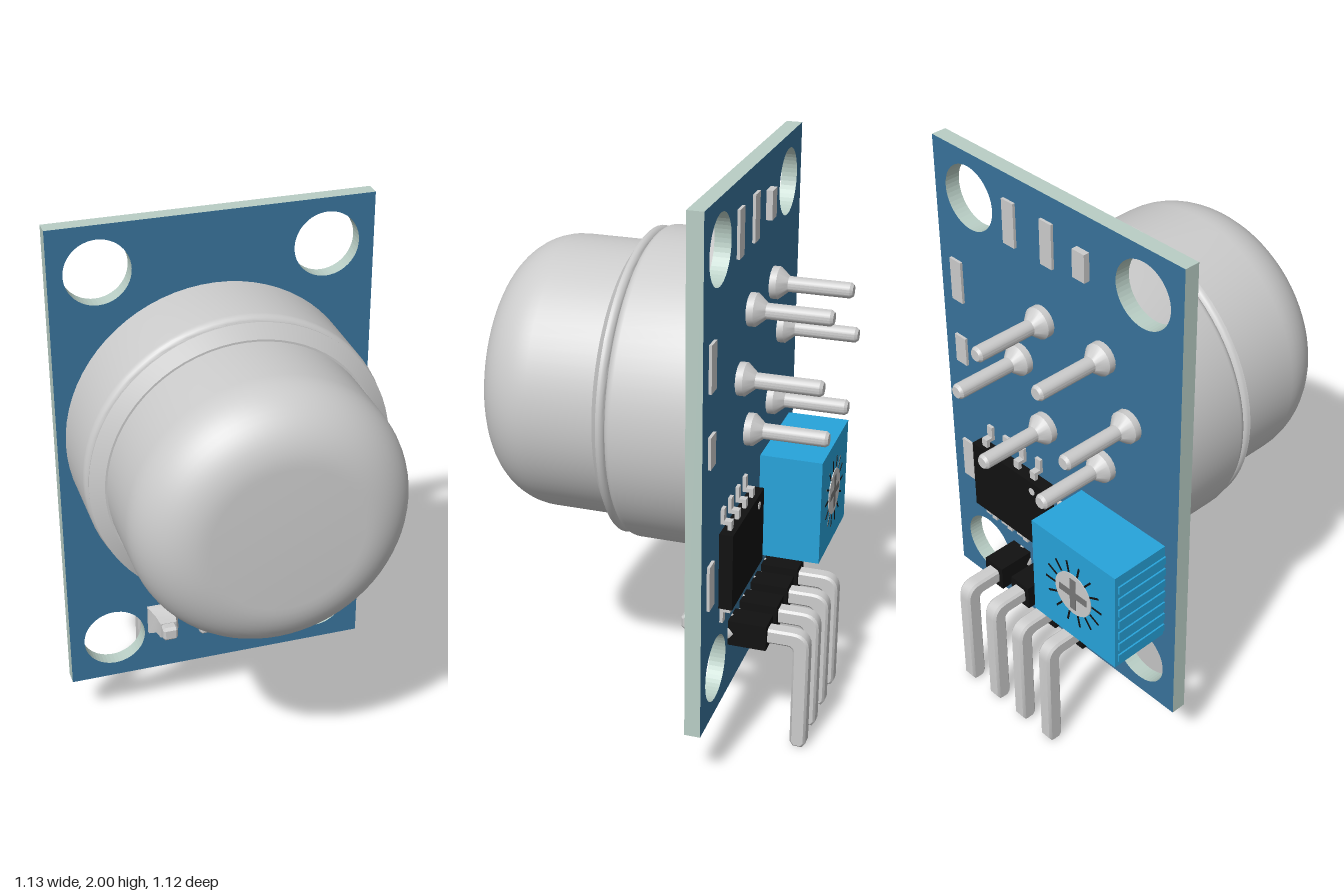
import * as THREE from 'three';
import { toCreasedNormals } from 'three/addons/utils/BufferGeometryUtils.js';

const mat = (color) => new THREE.MeshStandardMaterial({ color });
const grey = mat(0xcccccc);
const black = mat(0x111111);
const boardBlue = mat(0x38729a);
const boardEdge = mat(0xb9cec5);
const trimBlue = mat(0x27a3da);
const BACK = -0.285, FRONT = -0.23;

export function createModel() {
  const root = new THREE.Group();

  const add = (name, geo, material, x = 0, y = 0, z = 0, parent = root) => {
    const m = new THREE.Mesh(geo, material);
    m.name = name;
    m.position.set(x, y, z);
    parent.add(m);
    return m;
  };
  // box given by its min and max corners
  const box = (name, material, x0, x1, y0, y1, z0, z1, parent = root) =>
    add(name, new THREE.BoxGeometry(x1 - x0, y1 - y0, z1 - z0), material,
      (x0 + x1) / 2, (y0 + y1) / 2, (z0 + z1) / 2, parent);
  // turned part along z: dir 1 points forward, -1 backward
  const turned = (pts, seg, dir, crease = 0.5) => {
    const g = new THREE.LatheGeometry(pts.map((p) => new THREE.Vector2(p[0], p[1])), seg);
    return toCreasedNormals(g.rotateX(dir * Math.PI / 2), crease);
  };
  const arc = (cx, cy, r, a0, a1, n) => Array.from({ length: n + 1 }, (_, i) => {
    const a = a0 + (a1 - a0) * i / n;
    return [cx + r * Math.cos(a), cy + r * Math.sin(a)];
  });

  // circuit board with four mounting holes
  const board = new THREE.Shape();
  board.moveTo(-0.563, 0.2).lineTo(0.563, 0.2).lineTo(0.563, 2).lineTo(-0.563, 2).closePath();
  for (const x of [-0.395, 0.395]) for (const y of [0.37, 1.835]) {
    board.holes.push(new THREE.Path().absarc(x, y, 0.115, 0, Math.PI * 2, true));
  }
  add('circuitBoard', new THREE.ExtrudeGeometry(board,
    { depth: FRONT - BACK, bevelEnabled: false, curveSegments: 24 }), [boardBlue, boardEdge], 0, 0, BACK);

  // sensor can: wide base with rounded shoulder, collar and dome
  const H = Math.PI / 2;
  add('sensorBase', turned([
    [0, FRONT], [0.533, FRONT],
    ...arc(0.505, 0.027, 0.028, 0, H, 6),
    ...arc(0.505, 0.08, 0.025, -H, 0, 5).map(([r, z]) => [r - 0.005, z]),
    [0.478, 0.11], [0.47, 0.11],
  ].map(([r, z]) => [r, z]), 72, 1), grey, 0, 1.215, 0);
  add('sensorDome', turned([
    [0.471, 0.05], ...arc(0.256, 0.345, 0.215, 0, H, 14), [0, 0.56],
  ], 72, 1), grey, 0, 1.215, 0);

  // six sensor legs with flared feet
  const leg = turned([[0.056, 0], [0.056, 0.024], [0.027, 0.058], [0.027, 0.27],
    [0.02, 0.28], [0, 0.28]], 20, -1);
  for (const [x, y] of [[0.055, 1.53], [-0.225, 1.53], [0.165, 1.33], [-0.34, 1.33],
    [0.055, 1.105], [-0.225, 1.105]]) add('sensorLeg', leg, grey, x, y, BACK);

  // right-angle header pins, spacer blocks and solder joints
  const L = new THREE.Shape();
  L.moveTo(0.12, 0.398).lineTo(0.488, 0.398).quadraticCurveTo(0.508, 0.398, 0.508, 0.378)
    .lineTo(0.508, 0.018).lineTo(0.52, 0).lineTo(0.553, 0).lineTo(0.565, 0.018).lineTo(0.565, 0.395)
    .quadraticCurveTo(0.563, 0.453, 0.505, 0.453).lineTo(0.12, 0.453).lineTo(0.11, 0.443)
    .lineTo(0.11, 0.408).closePath();
  const pin = toCreasedNormals(new THREE.ExtrudeGeometry(L, {
    depth: 0.039, bevelThickness: 0.008, bevelSize: 0.008, bevelOffset: -0.008,
    bevelSegments: 1, curveSegments: 6,
  }).translate(0, 0, -0.0195).rotateY(H), 0.5);
  const joint = [[0.058, 0], [0.056, 0.012], [0.037, 0.04], [0.03, 0.085], [0, 0.085]];
  const roundJoint = turned(joint, 24, 1);
  const squareJoint = toCreasedNormals(new THREE.LatheGeometry(
    joint.map(([r, z]) => new THREE.Vector2(r * 1.414, z)), 4, H / 2).rotateX(H), 0.5);
  const backJoint = turned([[0.05, 0], [0.045, 0.02], [0.035, 0.035], [0, 0.035]], 16, -1);
  [-0.21, -0.07, 0.07, 0.21].forEach((x, i) => {
    add('headerPin', pin, grey, x);
    box('headerSpacer', black, x - 0.045, x + 0.045, 0.38, 0.473, -0.42, BACK);
    add('solderJoint', i ? roundJoint : squareJoint, grey, x, 0.425, FRONT);
    add('backSolder', backJoint, grey, x, 0.425, BACK);
  });

  // trimmer block with ribbed side
  const trimmer = new THREE.Group();
  trimmer.name = 'trimmer';
  root.add(trimmer);
  box('trimmerBody', trimBlue, -0.508, -0.115, 0.54, 0.932, -0.508, BACK, trimmer);
  for (let i = 0; i < 7; i++) {
    const y = 0.56 + i * 0.05;
    box('trimmerRib', trimBlue, -0.514, -0.5, y, y + 0.03, -0.495, BACK, trimmer);
  }
  // adjusting screw with cross slot and scale marks
  const dial = new THREE.Group();
  dial.name = 'trimmerDial';
  dial.position.set(-0.312, 0.736, -0.508);
  trimmer.add(dial);
  add('dialDisc', new THREE.CylinderGeometry(0.085, 0.085, 0.006, 28).rotateX(H), grey, 0, 0, 0, dial);
  const slot = mat(0x777777);
  box('crossSlot', slot, -0.065, 0.065, -0.014, 0.014, -0.0045, 0, dial);
  box('crossSlot', slot, -0.014, 0.014, -0.065, 0.065, -0.0045, 0, dial);
  for (let i = 0; i < 14; i++) {
    const a = (i / 14) * Math.PI * 2;
    const tick = add('scaleMark', new THREE.BoxGeometry(0.045, 0.007, 0.004), black,
      0.11 * Math.cos(a), 0.11 * Math.sin(a), 0, dial);
    tick.rotation.z = a;
  }

  // eight-leg chip
  box('chipBody', black, 0.02, 0.392, 0.6, 0.876, -0.338, BACK - 0.006);
  add('chipMark', new THREE.CylinderGeometry(0.014, 0.014, 0.004, 16).rotateX(H), grey, 0.08, 0.838, -0.338);
  for (let i = 0; i < 4; i++) {
    const x = 0.093 + i * 0.084;
    for (const s of [-1, 1]) {
      const part = (a, b, z0, z1) => box('chipLeg', grey, x - 0.013, x + 0.013,
        0.738 + Math.min(s * a, s * b), 0.738 + Math.max(s * a, s * b), z0, z1);
      part(0.13, 0.17, -0.322, -0.308);
      part(0.156, 0.17, -0.322, BACK);
      part(0.156, 0.212, -0.297, BACK);
    }
  }

  // small surface parts: x, y, height, thickness
  for (const [x, y, h, t] of [[0.195, 1.83, 0.16, 0.01], [0.02, 1.83, 0.16, 0.01],
    [-0.14, 1.83, 0.1, 0.022], [0.478, 1.49, 0.16, 0.01], [0.478, 1.21, 0.11, 0.01],
    [0.478, 0.73, 0.16, 0.01], [-0.03, 0.74, 0.16, 0.012]]) {
    box('surfacePart', grey, x - 0.027, x + 0.027, y - h / 2, y + h / 2, BACK - t, BACK);
  }
  return root;
}
